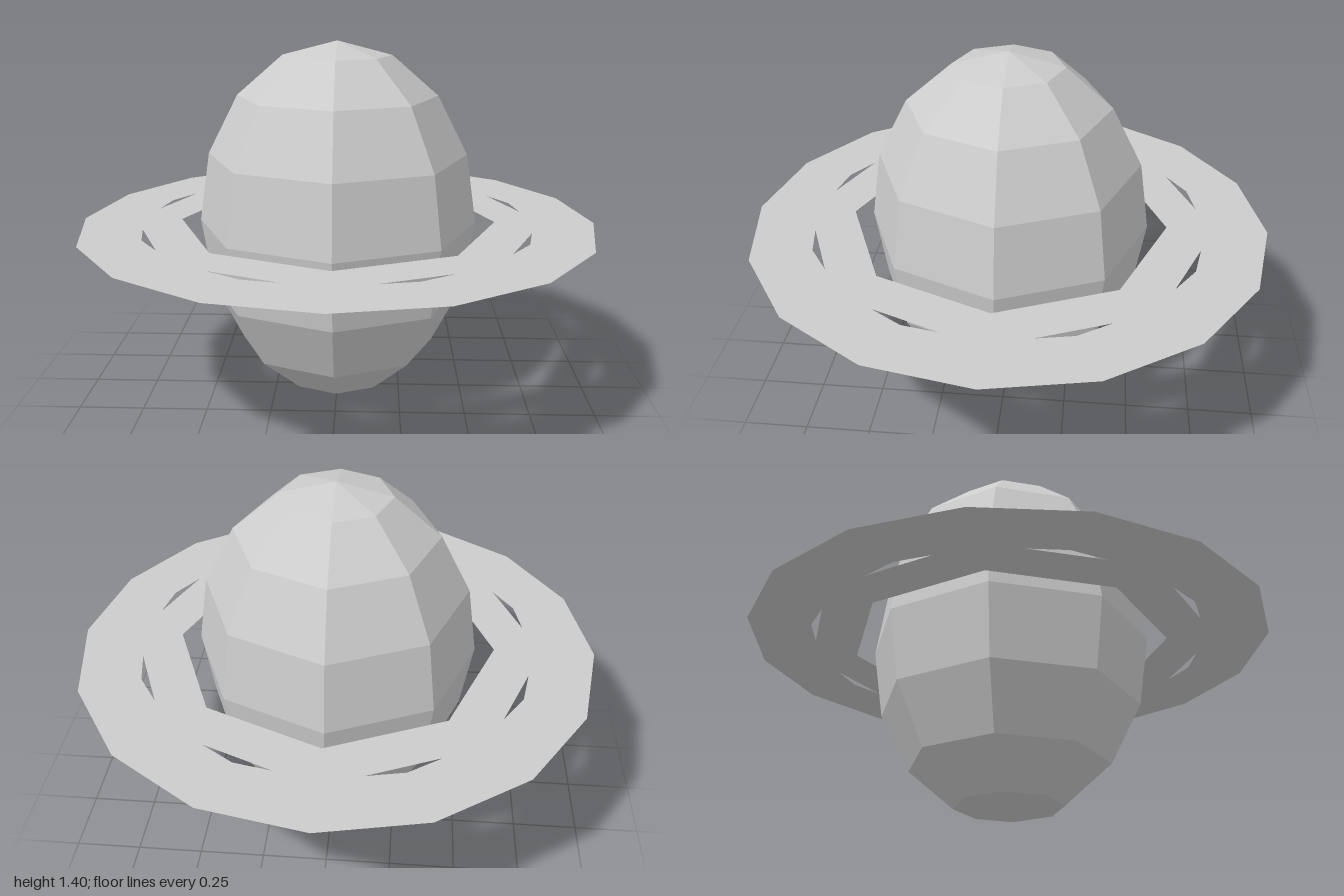
import * as THREE from 'three';

const CENTER_Y = 0.7;

export function createModel() {
  const group = new THREE.Group();
  group.name = 'ringedPlanet';

  const grey = new THREE.MeshStandardMaterial({ color: 0xcccccc, flatShading: true, side: THREE.DoubleSide });
  grey.name = 'light grey';

  // Faceted egg-shaped globe: an eight-sided sphere stretched upward
  const globeGeometry = new THREE.SphereGeometry(1, 8, 8);
  globeGeometry.scale(0.54, 0.7, 0.54);
  const globe = new THREE.Mesh(globeGeometry, grey);
  globe.name = 'globe';
  globe.position.y = CENTER_Y;
  group.add(globe);

  // Flat rings: the octagon and the 16-gon overlap, leaving eight thin slits
  const addRing = (name, inner, outer, sides) => {
    const geometry = new THREE.RingGeometry(inner, outer, sides, 1);
    geometry.rotateX(-Math.PI / 2);
    const ring = new THREE.Mesh(geometry, grey);
    ring.name = name;
    ring.position.y = CENTER_Y;
    group.add(ring);
  };
  addRing('innerRing', 0.615, 0.8, 8);
  addRing('outerRing', 0.767, 1, 16);

  return group;
}
